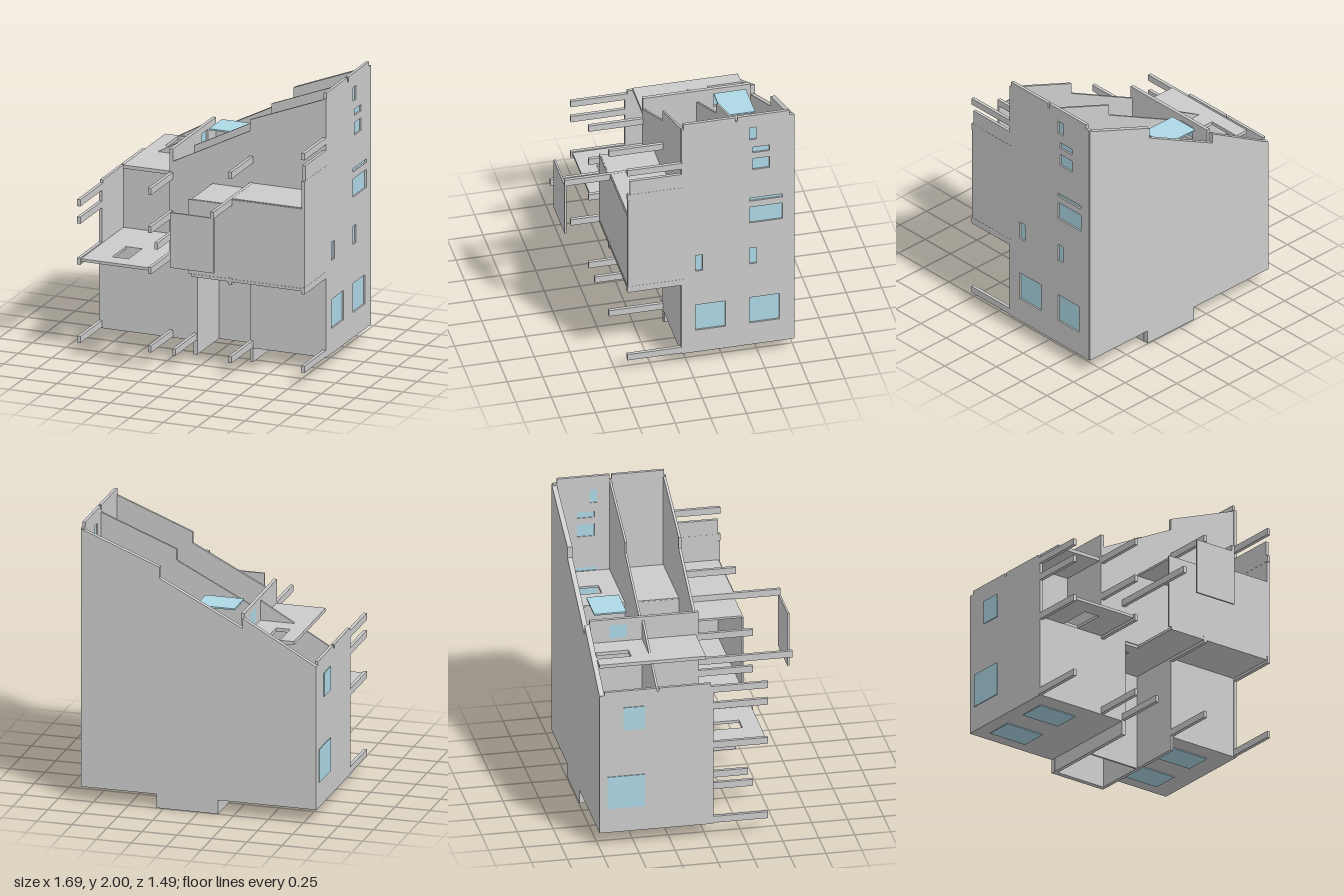
import * as THREE from 'three';

const grey = new THREE.MeshStandardMaterial({ color: 0xcccccc, side: THREE.DoubleSide });
const glass = new THREE.MeshStandardMaterial({ color: 0xadd8e6, side: THREE.DoubleSide });

export function createModel() {
  const model = new THREE.Group();

  function add(name, geometry, material = grey) {
    const mesh = new THREE.Mesh(geometry, material);
    mesh.name = name;
    model.add(mesh);
  }
  function box(name, x0, x1, y0, y1, z0, z1, material) {
    const g = new THREE.BoxGeometry(x1 - x0, y1 - y0, z1 - z0);
    g.translate((x0 + x1) / 2, (y0 + y1) / 2, (z0 + z1) / 2);
    add(name, g, material);
  }
  // Flat plate with rectangular holes [a0, a1, b0, b1]
  function plate(points, holes, depth) {
    const v = (p) => new THREE.Vector2(p[0], p[1]);
    const shape = new THREE.Shape(points.map(v));
    for (const [a0, a1, b0, b1] of holes) {
      shape.holes.push(new THREE.Path([[a0, b0], [a0, b1], [a1, b1], [a1, b0]].map(v)));
    }
    return new THREE.ExtrudeGeometry(shape, { depth, bevelEnabled: false });
  }
  // Wall facing z, outline in x and y
  function crossWall(name, points, z0, z1) {
    add(name, plate(points, [], z1 - z0).translate(0, 0, z0));
  }
  // Wall facing x, outline and holes in z and y
  function sideWall(name, points, holes, x0, x1) {
    const g = plate(points.map(([z, y]) => [-z, y]),
      holes.map(([z0, z1, y0, y1]) => [-z1, -z0, y0, y1]), x1 - x0);
    add(name, g.rotateY(Math.PI / 2).translate(x0, 0, 0));
  }
  // Horizontal slab, holes in x and z
  function slab(name, x0, x1, y0, y1, z0, z1, holes = []) {
    const g = plate([[x0, -z1], [x1, -z1], [x1, -z0], [x0, -z0]],
      holes.map(([a0, a1, b0, b1]) => [a0, a1, -b1, -b0]), y1 - y0);
    add(name, g.rotateX(-Math.PI / 2).translate(0, y0, 0));
  }

  // Sloping cross walls with the stepped roof line
  const tab = [[-0.84, 0.1], [-0.14, 0.1], [-0.14, 0], [0.3, 0], [0.3, 0.1], [0.84, 0.1]];
  const roof = [[0.84, 1.96], [0.28, 1.74], [0.28, 1.66], [-0.315, 1.355]];
  const outline = [...tab, ...roof, [-0.315, 1.43], [-0.84, 1.13]];
  crossWall('backWall', outline, -0.745, -0.71);
  crossWall('middleWall', outline, -0.345, -0.33);
  crossWall('frontWall', [[-0.84, 0.1], [-0.14, 0.1], [-0.14, 0], [-0.11, 0], [-0.11, 0.71],
    [0.28, 0.71], [0.28, 0], [0.3, 0], [0.3, 0.1], [0.84, 0.1], ...roof,
    [-0.315, 0.71], [-0.84, 0.71]], 0.03, 0.048);

  // Outer wall on the high side, with windows
  const windows = [
    [-0.26, -0.05, 0.28, 0.49], [-0.64, -0.43, 0.28, 0.49],
    [-0.1, -0.05, 0.77, 0.9], [-0.48, -0.43, 0.77, 0.9],
    [-0.66, -0.43, 1.11, 1.24], [-0.66, -0.43, 1.29, 1.315],
    [-0.57, -0.45, 1.55, 1.64], [-0.57, -0.45, 1.69, 1.735],
    [-0.48, -0.43, 1.8, 1.9],
  ];
  sideWall('highOuterWall', [[-0.74, 0.1], [0.05, 0.1], [0.05, 0.67], [0.425, 0.67], [0.425, 1.43],
    [0.41, 1.43], [0.41, 1.59], [0.05, 1.59], [0.05, 1.96], [0.035, 1.96], [0.035, 2],
    [-0.33, 2], [-0.33, 1.965], [-0.345, 1.965], [-0.345, 2], [-0.71, 2], [-0.71, 1.965],
    [-0.74, 1.965]], windows, 0.82, 0.842);
  for (const [z0, z1, y0, y1] of windows) box('windowGlass', 0.825, 0.83, y0, y1, z0, z1, glass);

  // Outer wall on the low side, with windows
  box('lowOuterWall', -0.842, -0.82, 0.1, 1.135, -0.74, 0.048);
  for (const [z0, z1] of [[-0.71, -0.345], [-0.33, 0.03]]) {
    box('lowWallTop', -0.842, -0.82, 1.13, 1.16, z0, z1);
  }
  box('lowWindowGlass', -0.848, -0.84, 0.28, 0.52, -0.69, -0.43, glass);
  box('lowWindowGlass', -0.848, -0.84, 0.865, 1.035, -0.58, -0.43, glass);

  // Inner partitions
  const atticWindow = [-0.57, -0.45, 1.31, 1.41];
  sideWall('lowPartition', [[-0.71, 0.1], [0.048, 0.1], [0.048, 1.455], [-0.71, 1.455]],
    [atticWindow], -0.318, -0.293);
  box('atticGlass', -0.318, -0.31, 1.31, 1.41, -0.57, -0.45, glass);
  box('stairPartition', -0.138, -0.112, 0, 0.7, -0.71, 0.04);
  box('upperStairPartition', -0.138, -0.112, 0.7, 1.25, -0.71, -0.345);
  box('highPartition', 0.278, 0.302, 0, 1.28, -0.71, 0.04);

  // Ground floors with glass panels underneath
  slab('groundFloor', -0.83, -0.13, 0.1, 0.115, -0.72, 0.04);
  slab('groundFloor', 0.29, 0.83, 0.1, 0.115, -0.72, 0.04);
  for (const [x0, x1] of [[-0.74, -0.44], [0.39, 0.69]]) {
    for (const z of [-0.55, -0.18]) box('floorGlass', x0, x1, 0.094, 0.1, z - 0.1, z + 0.1, glass);
  }

  // First floor, the balcony and the bay floor
  slab('firstFloorBack', -0.82, 0.82, 0.69, 0.71, -0.71, -0.345,
    [[-0.57, -0.47, -0.7, -0.47], [0.46, 0.58, -0.7, -0.47]]);
  slab('balcony', -0.82, -0.3, 0.69, 0.71, -0.33, 0.415, [[-0.64, -0.52, 0.05, 0.29]]);
  slab('firstFloorMiddle', -0.3, 0.82, 0.69, 0.71, -0.33, 0.04, [[-0.11, 0, -0.33 + 0.005, -0.055]]);
  box('floorLight', -0.11, 0, 0.7, 0.71, -0.325, -0.055, glass);
  slab('bayFloor', 0, 0.82, 0.69, 0.71, 0.04, 0.425);

  // Upper floors
  slab('lowUpperFloor', -0.67, -0.315, 1.262, 1.287, -0.71, 0.03, [[-0.57, -0.47, -0.7, -0.47]]);
  slab('highUpperFloor', 0.28, 0.82, 1.272, 1.287, -0.71, 0.04, [[0.46, 0.58, -0.7, -0.47]]);
  box('skylight', -0.23, 0.045, 1.452, 1.463, -0.66, -0.435, glass);

  // Projecting bay and its detached screen
  slab('bayRoof', 0.29, 0.82, 1.272, 1.287, 0.04, 0.415);
  slab('bayLowRoof', 0, 0.29, 1.23, 1.245, 0.04, 0.415);
  box('bayFront', 0.3, 0.82, 0.71, 1.28, 0.41, 0.422);
  box('bayFront', -0.02, 0.3, 0.71, 1.242, 0.41, 0.422);
  box('screen', -0.02, 0.302, 0.847, 1.243, 0.727, 0.74);

  // Projecting beams: x, bottom y, end z
  const beams = [
    [-0.831, 0.107, 0.428], [-0.831, 0.67, 0.428], [-0.831, 0.965, 0.428], [-0.831, 1.09, 0.428],
    [-0.305, 0.107, 0.428], [-0.305, 0.67, 0.428], [-0.305, 0.965, 0.428], [-0.305, 1.24, 0.428],
    [-0.125, 0.107, 0.428], [-0.125, 0.965, 0.74],
    [0.29, 0.107, 0.428], [0.29, 0.67, 0.428], [0.29, 1.24, 0.74], [0.29, 1.432, 0.428],
    [0.831, 0.107, 0.428], [0.831, 0.67, 0.428], [0.831, 1.432, 0.428], [0.831, 1.635, 0.428],
  ];
  for (const [x, y, z] of beams) box('beam', x - 0.012, x + 0.012, y, y + 0.048, 0.03, z);

  return model;
}
